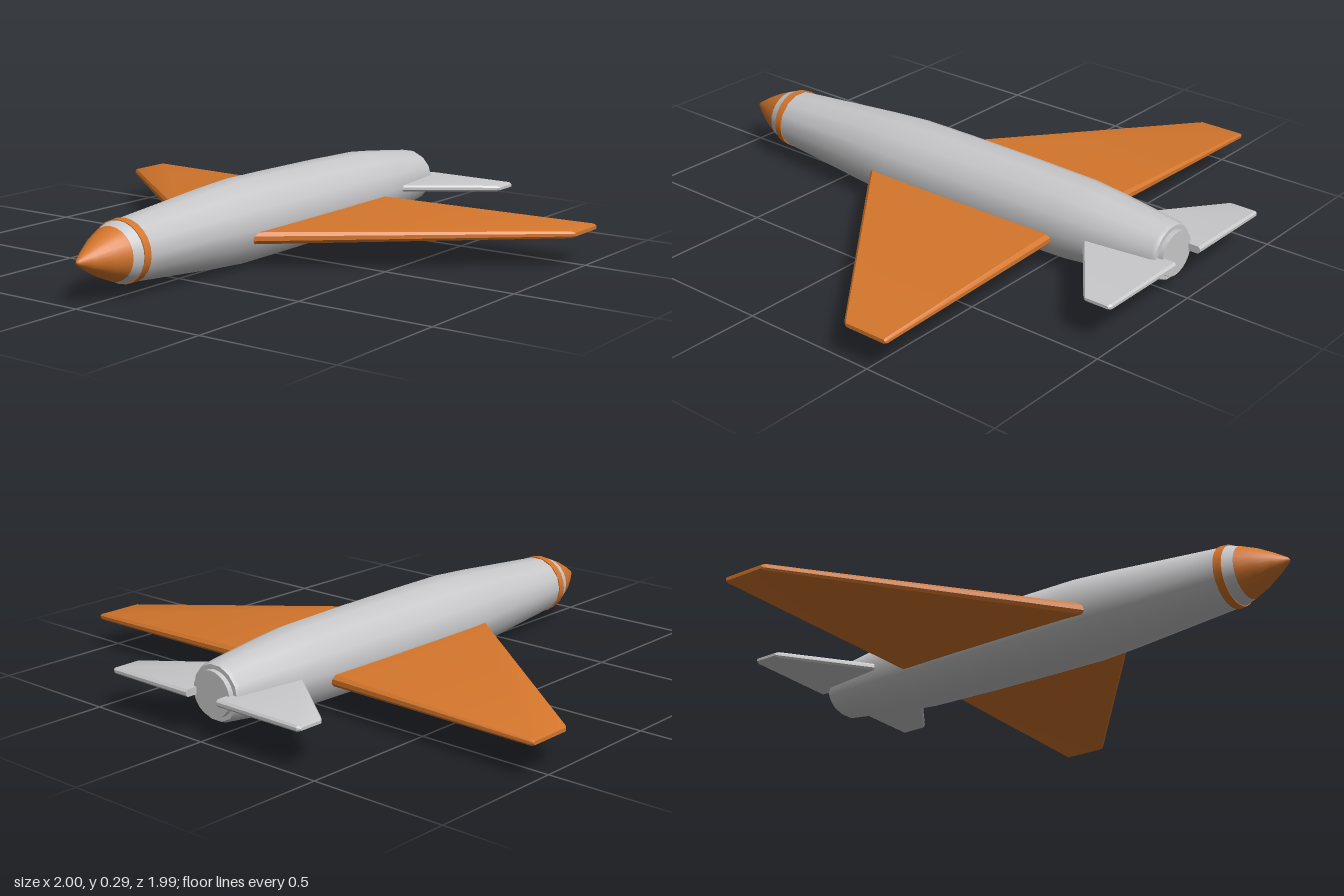
import * as THREE from 'three';
import { toCreasedNormals } from 'three/addons/utils/BufferGeometryUtils.js';

const grey = new THREE.MeshStandardMaterial({ color: 0xc8c8ca });
grey.name = 'light grey';
const orange = new THREE.MeshStandardMaterial({ color: 0xd4762c });
orange.name = 'orange';

const AXIS_Y = 0.15;

// Body of revolution along z; profile is [radius, z] from tail to nose
function turned(name, profile, material, segments = 14) {
  const points = profile.map(([r, z]) => new THREE.Vector2(r, z));
  const geo = new THREE.LatheGeometry(points, segments, Math.PI / 2);
  geo.rotateX(Math.PI / 2);
  geo.scale(1, 0.95, 1);
  geo.translate(0, AXIS_Y, 0);
  const mesh = new THREE.Mesh(geo, material);
  mesh.name = name;
  return mesh;
}

// Bevelled aerofoil plate lofted through stations [x, zFront, zBack, yLow, yHigh]
function plate(name, stations, side, material) {
  const rings = stations.map(([x, zf, zb, lo, hi]) => {
    const b = (hi - lo) * 0.3;
    return [
      [zf - b, hi], [zb + b, hi], [zb, hi - b], [zb, lo + b],
      [zb + b, lo], [zf - b, lo], [zf, lo + b], [zf, hi - b],
    ].map(([z, y]) => [x * side, y, z]);
  });
  const n = 8;
  const last = (rings.length - 1) * n;
  const index = [];
  const tri = (a, b, c) => (side > 0 ? index.push(a, b, c) : index.push(a, c, b));
  for (let i = 0; i < rings.length - 1; i++) {
    for (let j = 0; j < n; j++) {
      const a = i * n + j, b = i * n + (j + 1) % n;
      tri(a, a + n, b + n);
      tri(a, b + n, b);
    }
  }
  // Root and tip caps
  for (let j = 1; j < n - 1; j++) {
    tri(0, j, j + 1);
    tri(last, last + j + 1, last + j);
  }
  const geo = new THREE.BufferGeometry();
  geo.setAttribute('position', new THREE.Float32BufferAttribute(rings.flat(2), 3));
  geo.setIndex(index);
  const mesh = new THREE.Mesh(toCreasedNormals(geo, 0.5), material);
  mesh.name = name;
  return mesh;
}

export function createModel() {
  const model = new THREE.Group();
  model.name = 'aircraft';

  // Fuselage, flat tail and exhaust ring
  model.add(
    turned('fuselage', [
      [0.1, -0.93], [0.107, -0.915], [0.137, -0.68], [0.149, -0.56], [0.155, -0.3],
      [0.158, 0], [0.158, 0.2], [0.148, 0.35], [0.111, 0.768],
    ], grey),
    turned('tailCap', [[0, -0.93], [0.1, -0.93]], grey),
    turned('exhaustRing', [[0.083, -0.948], [0.083, -0.925]], grey, 24),
    turned('exhaustCap', [[0, -0.948], [0.083, -0.948]], grey, 24),
  );

  // Nose: orange band, grey ring and pointed cone
  model.add(
    turned('noseBandBack', [[0.1, 0.766], [0.114, 0.766]], orange, 24),
    turned('noseBand', [[0.114, 0.766], [0.112, 0.795]], orange, 24),
    turned('noseBandFront', [[0.112, 0.795], [0.1, 0.795]], orange, 24),
    turned('noseRing', [[0.109, 0.795], [0.096, 0.832]], grey, 24),
    turned('noseCone', [[0.096, 0.832], [0.073, 0.885], [0.04, 0.942], [0.01, 0.987], [0, 0.993]], orange, 24),
  );

  // Swept wings and tailplanes, mirrored
  for (const [label, side] of [['left', 1], ['right', -1]]) {
    model.add(
      plate(label + 'Wing', [
        [0, 0.39, -0.535, 0.096, 0.141],
        [0.99, -0.402, -0.581, 0.115, 0.138],
        [1, -0.415, -0.577, 0.12, 0.133],
      ], side, orange),
      plate(label + 'Tailplane', [
        [0.07, -0.62, -0.993, 0.134, 0.16],
        [0.42, -0.882, -0.993, 0.136, 0.158],
        [0.432, -0.895, -0.985, 0.142, 0.152],
      ], side, grey),
    );
  }
  return model;
}
